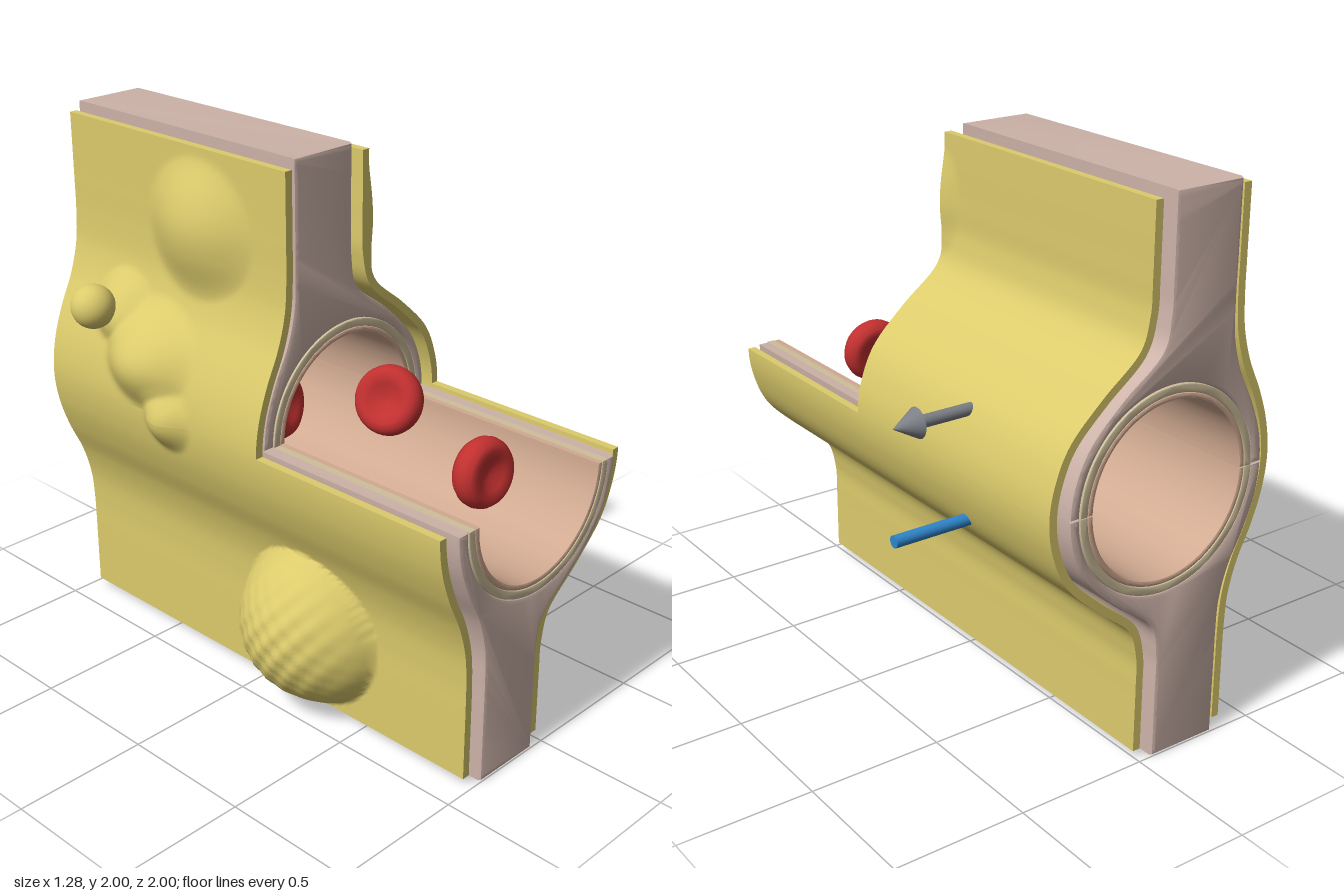
import * as THREE from 'three';
import { toCreasedNormals } from 'three/addons/utils/BufferGeometryUtils.js';

const mat = (color) => new THREE.MeshStandardMaterial({ color });
const CX = -0.075, CY = 1.003, BACK = -1;
const D = [0, 0.12, 0.24, 0.36, 0.48, 0.6, 0.72, 0.85, 1];

// Side curve mirrored about y = 1; u = 0.5 is mid height
function sideCurve(xs, half) {
  const up = D.map((d, i) => new THREE.Vector3(xs[i], 1 + Math.min(d, half), 0));
  const down = up.slice(1).reverse().map((p) => new THREE.Vector3(p.x, 2 - p.y, 0));
  return new THREE.CatmullRomCurve3([...down, ...up], false, 'catmullrom', 0.5);
}

const wallRight = sideCurve([0.33, 0.312, 0.252, 0.13, -0.022, -0.053, -0.055, -0.055, -0.055], 1);
const wallLeft = sideCurve([-0.487, -0.472, -0.427, -0.368, -0.336, -0.33, -0.33, -0.33, -0.33], 1);
const sheetRight = sideCurve([0.375, 0.356, 0.3, 0.178, 0.035, -0.006, -0.01, -0.01, -0.01], 0.972);
const sheetLeft = sideCurve([-0.53, -0.515, -0.475, -0.42, -0.386, -0.376, -0.375, -0.375, -0.375], 0.972);

function arcPoints(r, side, reverse) {
  const pts = [];
  for (let i = 0; i <= 48; i++) {
    const a = (Math.PI * (reverse ? 48 - i : i)) / 48;
    pts.push(new THREE.Vector2(CX + r * Math.cos(a), 1 + side * r * Math.sin(a)));
  }
  return pts;
}

function extrude(points, front, bevel) {
  const geo = new THREE.ExtrudeGeometry(new THREE.Shape(points), {
    depth: front - BACK - 2 * bevel, bevelEnabled: true, bevelThickness: bevel,
    bevelSize: bevel, bevelOffset: -bevel, bevelSegments: 2,
  });
  geo.translate(0, 0, BACK + bevel);
  return toCreasedNormals(geo, 0.6);
}

// Half of the thick wall, with half of the bore cut out
function wallPoints(side) {
  const pts = [];
  const sample = (curve, i) => {
    const p = curve.getPoint(0.5 + (side * i) / 96);
    return new THREE.Vector2(p.x, p.y);
  };
  for (let i = 0; i <= 48; i++) pts.push(sample(wallRight, i));
  for (let i = 48; i >= 0; i--) pts.push(sample(wallLeft, i));
  return pts.concat(arcPoints(0.365, side, true));
}

// Swellings on the left sheet: y, z, y radius, z radius, height, sharpness
const leftLumps = [
  [0.33, 0.25, 0.3, 0.31, 0.24, 0.75],
  [1.2, -0.45, 0.2, 0.24, 0.1, 1.6],
  [1.0, -0.32, 0.13, 0.13, 0.06, 1.6],
  [1.32, -0.65, 0.14, 0.15, 0.07, 1.6],
  [1.68, -0.28, 0.26, 0.27, 0.08, 1.5],
];
const rightLumps = [[1.72, 0.15, 0.2, 0.09, 0.022, 1.5]];

function swelling(lumps, y, z) {
  let h = 0;
  lumps.forEach(([cy, cz, ry, rz, height, power], i) => {
    const r2 = ((y - cy) / ry) ** 2 + ((z - cz) / rz) ** 2;
    if (r2 >= 1) return;
    let add = height * (1 - r2) ** power;
    // the large swelling has a pebbled skin
    if (height > 0.2) add += 0.008 * (1 - r2) * Math.sin(y * 75) * Math.sin(z * 75 + y * 20);
    h = Math.max(h, add) + 0.3 * Math.min(h, add);
  });
  return h;
}

// Thin sheet: a box whose vertices follow the side curve
function sheet(curve, side, upper, lumps) {
  const front = upper ? 0.148 : 0.97;
  const geo = new THREE.BoxGeometry(1, 1, 1, 1, 72, upper ? 72 : 124);
  const pos = geo.attributes.position;
  for (let i = 0; i < pos.count; i++) {
    const t = pos.getX(i);
    const u = (pos.getY(i) + 0.5) / 2 + (upper ? 0.5 : 0);
    const z = THREE.MathUtils.lerp(-0.97, front, pos.getZ(i) + 0.5);
    const p = curve.getPoint(u), tan = curve.getTangent(u);
    const outer = t * side > 0;
    const x = p.x + tan.y * t * 0.03 + (outer ? side * swelling(lumps, p.y, z) : 0);
    pos.setXYZ(i, x, p.y - tan.x * t * 0.03, z);
  }
  geo.computeVertexNormals();
  return geo;
}

// Biconcave disc, axis along y
function discGeometry() {
  const profile = [[0, -0.022], [0.03, -0.025], [0.06, -0.041], [0.085, -0.05], [0.108, -0.043],
    [0.122, -0.022], [0.126, 0], [0.122, 0.022], [0.108, 0.043], [0.085, 0.05], [0.06, 0.041],
    [0.03, 0.025], [0, 0.022]];
  return new THREE.LatheGeometry(profile.map(([x, y]) => new THREE.Vector2(x, y)), 40);
}

export function createModel() {
  const group = new THREE.Group();
  const add = (name, geo, material, parent = group) => {
    const mesh = new THREE.Mesh(geo, material);
    mesh.name = name;
    parent.add(mesh);
    return mesh;
  };
  const wallMat = mat(0xcdb3a9), rimMat = mat(0xcfc09c), liningMat = mat(0xd2ab92);
  const sheetMat = mat(0xdccb6c), redMat = mat(0xc23030);
  const greyMat = mat(0x7c8086), blueMat = mat(0x2f86cc);

  // Wall, rim and bore lining; the upper half is cut back at the front
  for (const side of [1, -1]) {
    const label = side > 0 ? 'upper' : 'lower';
    const front = side > 0 ? 0.13 : 1;
    add(label + 'Wall', extrude(wallPoints(side), front, 0.014), wallMat);
    const ring = (r0, r1) => arcPoints(r1, side, false).concat(arcPoints(r0, side, true));
    add(label + 'Rim', extrude(ring(0.335, 0.365), front, 0.004), rimMat);
    add(label + 'Lining', extrude(ring(0.313, 0.335), front, 0.008), liningMat);
    add(label + 'RightSideSheet', sheet(sheetLeft, -1, side > 0, leftLumps), sheetMat);
    add(label + 'LeftSideSheet', sheet(sheetRight, 1, side > 0, rightLumps), sheetMat);
  }

  // Bud on the swollen sheet, and the bodies beneath it
  const ellipsoid = (name, center, radii, material) => {
    const mesh = add(name, new THREE.SphereGeometry(1, 32, 24), material);
    mesh.position.set(...center);
    mesh.scale.set(...radii);
  };
  ellipsoid('bud', [-0.56, 1.34, -0.68], [0.082, 0.082, 0.082], sheetMat);
  ellipsoid('upperWallBulge', [-0.33, 1.66, -0.26], [0.022, 0.22, 0.25], wallMat);
  ellipsoid('lowerWallBulge', [-0.33, 0.33, 0.25], [0.035, 0.28, 0.26], wallMat);
  ellipsoid('nucleus', [-0.345, 1.64, -0.26], [0.026, 0.17, 0.21], mat(0x5a4a9c));

  // Blood cells in the bore: centre and axis
  const cells = [
    [[-0.04, 1.105, 0.295], [0.88, -0.38, -0.28]],
    [[-0.045, 0.975, 0.73], [-0.05, 0.1, 1]],
    [[-0.045, 0.915, -0.25], [0.3, 0.1, 0.95]],
    [[-0.045, 1.07, -0.58], [0.1, 0.9, 0.4]],
  ];
  const disc = discGeometry();
  const up = new THREE.Vector3(0, 1, 0);
  cells.forEach(([center, axis], i) => {
    const cell = add('bloodCell' + (i + 1), disc, redMat);
    cell.position.set(...center);
    cell.quaternion.setFromUnitVectors(up, new THREE.Vector3(...axis).normalize());
  });

  // Arrows through the left sheet: grey points out, blue points in
  const arrow = (name, y, tail, neck, tip, radius, material) => {
    const g = new THREE.Group();
    g.name = name;
    g.position.set(0, y, -0.465);
    group.add(g);
    const shaft = add('shaft', new THREE.CylinderGeometry(0.022, 0.022, Math.abs(neck - tail), 24), material, g);
    const head = add('head', new THREE.ConeGeometry(radius, Math.abs(tip - neck), 32), material, g);
    shaft.position.x = (tail + neck) / 2;
    head.position.x = (neck + tip) / 2;
    shaft.rotation.z = head.rotation.z = tip > neck ? -Math.PI / 2 : Math.PI / 2;
  };
  arrow('outwardArrow', 1.206, 0.26, 0.54, 0.635, 0.054, greyMat);
  arrow('inwardArrow', 0.806, 0.638, 0.29, 0.2, 0.05, blueMat);
  return group;
}
